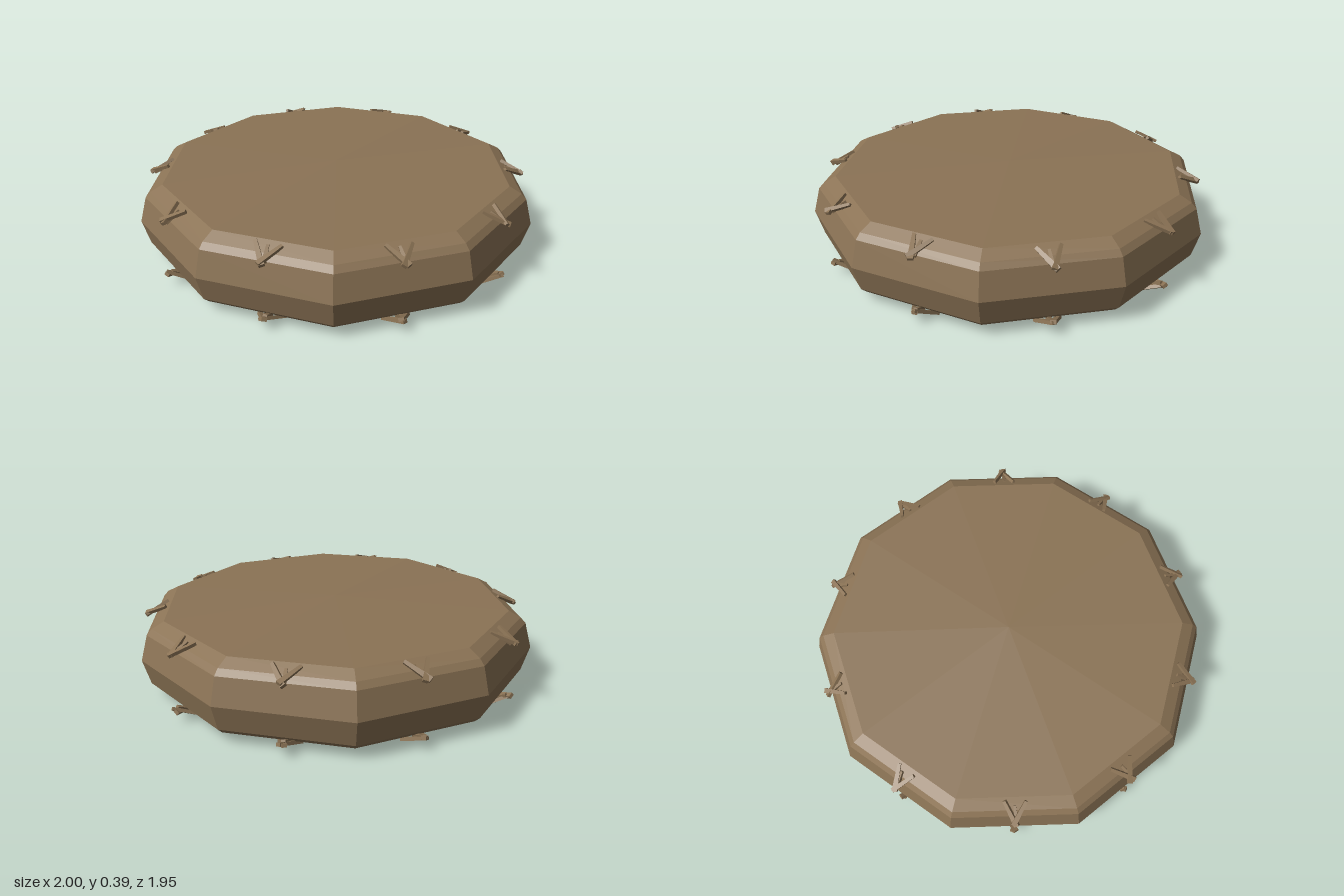
import * as THREE from 'three';

const hide = new THREE.MeshStandardMaterial({ color: 0x8b7355, flatShading: true });
hide.name = 'brown hide';

// repeatable jitter in -1..1 so the stitches look hand tied
function makeJitter(seed) {
  let s = seed;
  return () => {
    s = (s * 16807) % 2147483647;
    return (s / 2147483647) * 2 - 1;
  };
}

// tapered bar lying along local y
function makeBar(length, width, depth) {
  const geo = new THREE.BoxGeometry(width, length, depth);
  const pos = geo.attributes.position;
  for (let i = 0; i < pos.count; i++) {
    if (pos.getY(i) > 0) pos.setX(i, pos.getX(i) * 0.6);
  }
  return geo;
}

// crossed lacing: two long strokes meeting at the outer end and a short one between
function makeStitch(jitter) {
  const stitch = new THREE.Group();
  const strokes = [
    { len: 0.135, w: 0.026, turn: 0.5, x: -0.022, z: 0.012 },
    { len: 0.13, w: 0.024, turn: -0.55, x: 0.024, z: 0.016 },
    { len: 0.08, w: 0.02, turn: 0.05, x: 0, z: 0.006 },
  ];
  strokes.forEach((s) => {
    const bar = new THREE.Mesh(makeBar(s.len, s.w, 0.016), hide);
    bar.name = 'stitchStroke';
    bar.position.set(s.x + jitter() * 0.006, jitter() * 0.006, s.z);
    bar.rotation.set(-0.3 + jitter() * 0.08, jitter() * 0.3, s.turn + jitter() * 0.12, 'ZXY');
    stitch.add(bar);
  });
  return stitch;
}

export function createModel() {
  const model = new THREE.Group();
  model.name = 'roundCushion';

  // ten sided padded body with slightly domed top and bottom
  const profile = [
    [0, 0.005], [0.88, 0.018], [0.94, 0.05], [0.965, 0.075], [1, 0.2],
    [0.965, 0.325], [0.94, 0.352], [0.88, 0.383], [0, 0.397],
  ].map(([r, y]) => new THREE.Vector2(r, y));
  const body = new THREE.Mesh(new THREE.LatheGeometry(profile, 10, Math.PI / 2), hide);
  body.name = 'cushionBody';
  model.add(body);

  // a stitch in the middle of each side, on the upper and the lower edge
  const jitter = makeJitter(4711);
  for (let i = 0; i < 10; i++) {
    const angle = (i * Math.PI) / 5;
    for (const upper of [true, false]) {
      const stitch = makeStitch(jitter);
      stitch.name = upper ? 'upperStitch' : 'lowerStitch';
      const r = 0.9;
      stitch.position.set(Math.sin(angle) * r, upper ? 0.345 : 0.055, Math.cos(angle) * r);
      stitch.rotation.set(upper ? -0.8 : 0.8, angle, upper ? 0 : Math.PI, 'YXZ');
      model.add(stitch);
    }
  }
  return model;
}
